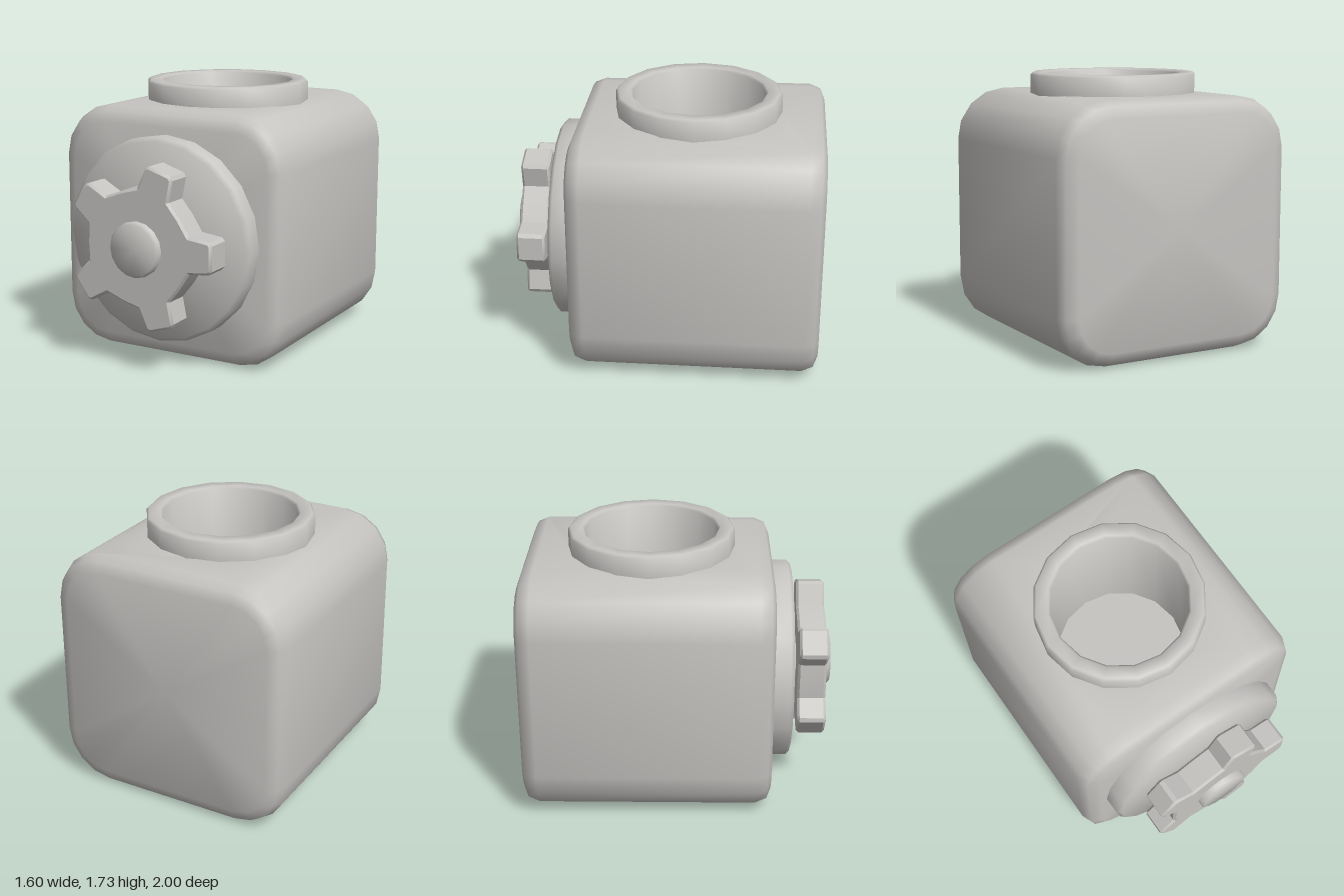
import * as THREE from 'three';
import { mergeGeometries, toCreasedNormals } from 'three/addons/utils/BufferGeometryUtils.js';

const HALF = 0.8, CORNER = 0.33, FLAT = HALF - CORNER; // body section
const WELL_Z = -0.18, WELL_R = 0.515;
const STEP = Math.PI / 8;

// drop of the first facet beside the flat top and bottom
const drop = (x) => Math.max(0, Math.abs(x) - FLAT) * Math.tan(STEP / 2);

function lathe(points, sides, crease = 0.9) {
  const g = new THREE.LatheGeometry(points.map(([r, y]) => new THREE.Vector2(r, y)), sides);
  return toCreasedNormals(g, crease);
}

// rounded-square outline, counter-clockwise, pulled in by inset
function ring(inset, z) {
  const pts = [];
  for (let c = 0; c < 4; c++) {
    const mid = (c + 0.5) * Math.PI / 2;
    for (let i = 0; i <= 4; i++) {
      const a = c * Math.PI / 2 + i * STEP, r = CORNER - inset;
      pts.push(new THREE.Vector3(
        Math.sign(Math.cos(mid)) * FLAT + Math.cos(a) * r,
        HALF + Math.sign(Math.sin(mid)) * FLAT + Math.sin(a) * r, z));
    }
  }
  return pts;
}

function bodyShell() {
  const rings = [[0.1, 0.6], [0.029, 0.571], [0, 0.5], [0, -0.9], [0.029, -0.971], [0.1, -1]]
    .map(([inset, z]) => ring(inset, z));
  const n = rings[0].length, tris = [];
  for (let k = 0; k < rings.length - 1; k++) {
    for (let j = 0; j < n; j++) {
      // leave room for the pierced top and bottom panels
      if (k === 2 && j % 10 >= 3 && j % 10 <= 5) continue;
      const m = (j + 1) % n;
      const a = rings[k][j], b = rings[k][m], c = rings[k + 1][j], d = rings[k + 1][m];
      tris.push(a, c, d, a, d, b);
    }
  }
  // end faces
  const front = new THREE.Vector3(0, HALF, 0.6), back = new THREE.Vector3(0, HALF, -1);
  for (let j = 0; j < n; j++) {
    const m = (j + 1) % n;
    tris.push(front, rings[0][j], rings[0][m], back, rings[5][m], rings[5][j]);
  }
  return new THREE.BufferGeometry().setFromPoints(tris);
}

// top (s = 1) or bottom (s = -1) panel with its round opening
function piercedPanel(s) {
  const w = FLAT + CORNER * Math.sin(STEP), y0 = -s * 0.5, y1 = s * 0.9;
  const shape = new THREE.Shape([
    [-w, y0], [-FLAT, y0], [FLAT, y0], [w, y0], [w, y1], [FLAT, y1], [-FLAT, y1], [-w, y1],
  ].map(([x, y]) => new THREE.Vector2(x, y)));
  const hole = [];
  for (let i = 0; i < 16; i++) {
    hole.push(new THREE.Vector2(Math.sin(i * STEP) * WELL_R, -s * WELL_Z + Math.cos(i * STEP) * WELL_R));
  }
  shape.holes.push(new THREE.Path(hole));
  const g = new THREE.ShapeGeometry(shape).rotateX(-s * Math.PI / 2).toNonIndexed();
  const p = g.attributes.position;
  for (let i = 0; i < p.count; i++) p.setY(i, HALF + s * (HALF - drop(p.getX(i))));
  g.deleteAttribute('normal');
  g.deleteAttribute('uv');
  return g;
}

function gearGeometry() {
  const pts = [];
  const tooth = [[0.363, -0.116], [0.5, -0.1], [0.52, -0.078], [0.52, 0.078], [0.5, 0.1], [0.363, 0.116], [0.298, 0.216]];
  for (let t = 0; t < 5; t++) {
    const a = t * Math.PI * 2 / 5;
    for (const [x, y] of tooth) pts.push(new THREE.Vector2(x, y).rotateAround(new THREE.Vector2(), a));
  }
  const g = new THREE.ExtrudeGeometry(new THREE.Shape(pts), {
    depth: 0.155, bevelEnabled: true, bevelSegments: 1,
    bevelSize: 0.015, bevelThickness: 0.015, bevelOffset: -0.015,
  });
  return toCreasedNormals(g, 0.6);
}

export function createModel() {
  const model = new THREE.Group();
  const grey = new THREE.MeshStandardMaterial({ color: 0xc6c4c1 });
  grey.name = 'warm grey';
  const add = (name, geometry, x = 0, y = 0, z = 0) => {
    const mesh = new THREE.Mesh(geometry, grey);
    mesh.name = name;
    mesh.position.set(x, y, z);
    model.add(mesh);
  };

  // body block
  const shell = mergeGeometries([bodyShell(), piercedPanel(1), piercedPanel(-1)]);
  add('body', toCreasedNormals(shell, 0.9));

  // raised collar with its deep bore
  add('collar', lathe([
    [0.537, 1.57], [0.537, 1.713], [0.522, 1.728], [0.445, 1.728], [0.43, 1.713], [0.43, 0.85], [0, 0.85],
  ], 16), 0, 0, WELL_Z);

  // socket in the underside, trimmed to the curved edge
  const socket = lathe([[0, 0.78], [WELL_R, 0.78], [WELL_R, 0]], 16);
  const p = socket.attributes.position;
  for (let i = 0; i < p.count; i++) if (p.getY(i) < 0.01) p.setY(i, drop(p.getX(i)));
  add('bottomSocket', socket, 0, 0, WELL_Z);

  // front plate, axle and gear
  add('frontPlate', lathe([[0.655, 0.58], [0.655, 0.705], [0.63, 0.73], [0, 0.73]], 20)
    .rotateX(Math.PI / 2), 0, HALF, 0);
  add('axle', lathe([[0.175, 0.71], [0.175, 0.985], [0.16, 1], [0, 1]], 16)
    .rotateX(Math.PI / 2), 0, HALF, 0);
  add('gear', gearGeometry(), 0, HALF, 0.785);

  return model;
}
